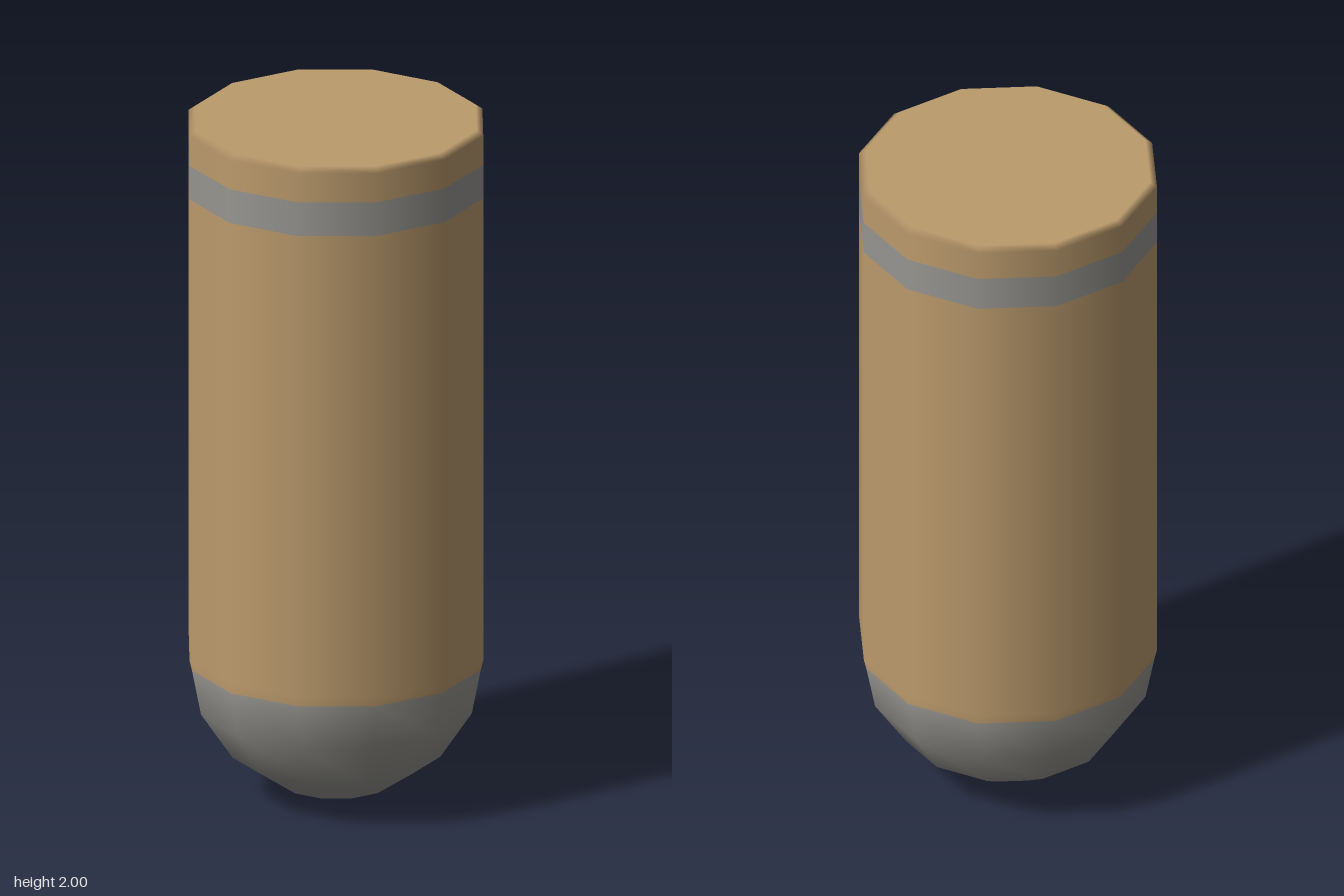
import * as THREE from 'three';

const SIDES = 12, R = 0.424, NOSE_Y = 0.43, TOP = 2;

export function createModel() {
  const model = new THREE.Group();
  model.name = 'capsule';
  const tan = new THREE.MeshStandardMaterial({ name: 'tan', color: 0xbc9b6d });
  const grey = new THREE.MeshStandardMaterial({ name: 'grey', color: 0x979691 });

  // Turned section whose normals run smoothly across the joins between sections
  function section(name, material, profile) {
    const geometry = new THREE.LatheGeometry(profile.map(([r, y]) => new THREE.Vector2(r, y)), SIDES);
    const { position, normal } = geometry.attributes;
    const n = new THREE.Vector3();
    for (let i = 0; i < position.count; i++) {
      n.fromBufferAttribute(position, i);
      if (n.y > TOP - 0.005) n.set(0, 1, 0);
      else n.y = Math.min(0, n.y - NOSE_Y);
      n.normalize();
      normal.setXYZ(i, n.x, n.y, n.z);
    }
    const mesh = new THREE.Mesh(geometry, material);
    mesh.name = name;
    model.add(mesh);
  }

  // Rounded nose, cut off just below where the straight wall begins
  section('nose', grey, [[0, 0], [0.162, 0.036], [0.3, 0.13], [0.391, 0.267], [0.417, 0.4]]);
  section('body', tan, [[0.417, 0.4], [R, NOSE_Y], [R, 1.8]]);
  section('band', grey, [[R, 1.8], [R, 1.9]]);
  // Rim with a small bevel and a flat top
  section('cap', tan, [[R, 1.9], [R, 1.986], [0.405, TOP], [0, TOP]]);

  return model;
}
